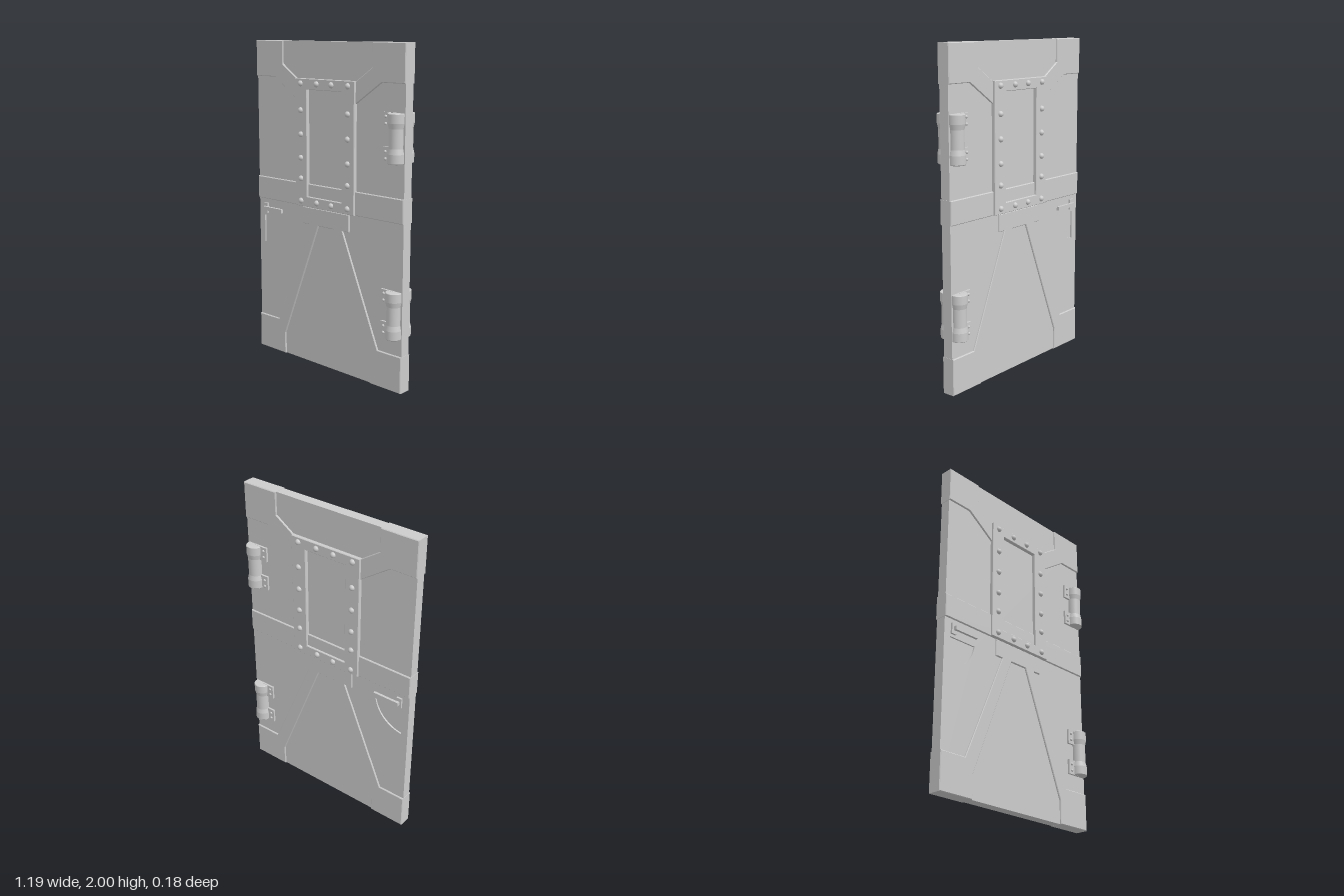
import * as THREE from 'three';

export function createModel() {
  const door = new THREE.Group();
  door.name = 'door';
  const grey = new THREE.MeshStandardMaterial({ color: 0xcccccc });

  const add = (name, geometry, x = 0, y = 0, z = 0, parent = door) => {
    const mesh = new THREE.Mesh(geometry, grey);
    mesh.name = name;
    mesh.position.set(x, y, z);
    parent.add(mesh);
    return mesh;
  };
  const polygon = (pts) => new THREE.Shape(pts.map(([x, y]) => new THREE.Vector2(x, y)));
  const rect = (x0, y0, x1, y1) => polygon([[x0, y0], [x1, y0], [x1, y1], [x0, y1]]);
  const mirrorX = (pts) => pts.map(([x, y]) => [-x, y]).reverse();

  // Plate centred on z = 0, showing equally on both faces of the door
  const plate = (name, shape, halfDepth, bevel = 0.004) => {
    const geometry = new THREE.ExtrudeGeometry(shape, {
      depth: 2 * (halfDepth - bevel), bevelEnabled: bevel > 0, bevelSize: bevel,
      bevelThickness: bevel, bevelOffset: -bevel, bevelSegments: 1, curveSegments: 16,
    });
    geometry.translate(0, 0, bevel - halfDepth);
    return add(name, geometry);
  };

  // Core and skin; the skin has a quarter-round recess under the handle
  const W = 0.597, SLAB = 0.032;
  add('core', new THREE.BoxGeometry(1.188, 1.994, 0.044), 0, 1, 0);
  const skin = rect(-0.595, 0.001, 0.595, 1.999);
  const recess = new THREE.Path();
  recess.moveTo(-0.55, 0.893);
  recess.lineTo(-0.55, 0.715);
  recess.bezierCurveTo(-0.455, 0.725, -0.375, 0.795, -0.36, 0.893);
  recess.lineTo(-0.55, 0.893);
  skin.holes.push(recess);
  plate('skin', skin, SLAB, 0);

  // Raised upper corner braces
  const topBrace = [
    [-W, 2], [-W, 1.78], [-0.43, 1.78], [-0.23, 1.645],
    [-0.23, 1.773], [-0.36, 1.86], [-0.36, 2],
  ];
  plate('upperBraceRight', polygon(topBrace), 0.042);
  plate('upperBraceLeft', polygon(mirrorX(topBrace)), 0.042);

  // Middle rail
  plate('middleRail', rect(-W, 1.003, W, 1.145), 0.042);

  // Raised A-shaped lower brace with feet
  const leg = [
    [-0.19, 1], [-0.19, 0.893], [-0.138, 0.893], [-0.42, 0.222], [-W, 0.222],
    [-W, 0], [-0.36, 0], [-0.36, 0.14], [-0.062, 0.893],
  ];
  plate('lowerBrace', polygon([...leg, ...mirrorX(leg)]), 0.042);

  // Window frame
  const frame = rect(-0.24, 1.003, 0.24, 1.78);
  frame.holes.push(rect(-0.143, 1.067, 0.14, 1.715));
  plate('windowFrame', frame, 0.055, 0.003);

  // Shared geometry for the fittings
  const rivet = new THREE.SphereGeometry(0.018, 14, 10);
  const screw = new THREE.SphereGeometry(0.009, 10, 8);
  const knuckle = new THREE.LatheGeometry([
    [0, -0.14], [0.046, -0.14], [0.05, -0.136], [0.05, -0.136], [0.05, -0.085],
    [0.05, -0.085], [0.043, -0.055], [0.043, -0.055], [0.043, 0.055], [0.043, 0.055],
    [0.05, 0.085], [0.05, 0.085], [0.05, 0.136], [0.05, 0.136], [0.046, 0.14], [0, 0.14],
  ].map(([r, y]) => new THREE.Vector2(r, y)), 32);
  const leaf = new THREE.BoxGeometry(0.09, 0.09, 0.03);

  const rivetSpots = [[-0.06, 1.75], [0.06, 1.75], [-0.06, 1.037], [0.06, 1.037]];
  for (const y of [1.75, 1.59, 1.445, 1.302, 1.175, 1.037]) {
    rivetSpots.push([-0.192, y], [0.19, y]);
  }

  // Fittings repeated on the front and the back
  for (const s of [1, -1]) {
    for (const [x, y] of rivetSpots) add('rivet', rivet, x, y, s * 0.054);

    for (const y of [1.48, 0.465]) {
      const hinge = new THREE.Group();
      hinge.name = 'hinge';
      hinge.position.set(0, y, 0);
      door.add(hinge);
      add('hingeKnuckle', knuckle, 0.54, 0, s * 0.04, hinge);
      for (const end of [-1, 1]) {
        add('hingeLeaf', leaf, 0.49, end * 0.096, s * 0.03, hinge);
        for (const dy of [-0.02, 0.02]) {
          add('hingeScrew', screw, 0.467, end * 0.098 + dy, s * 0.045, hinge);
        }
      }
    }

    // Lever handle: back plate, stem and bar
    const handle = new THREE.Group();
    handle.name = 'handle';
    door.add(handle);
    add('handlePlate', new THREE.BoxGeometry(0.034, 0.066, 0.02), -0.53, 0.943, s * 0.034, handle);
    add('handleStem', new THREE.BoxGeometry(0.02, 0.022, 0.03), -0.525, 0.943, s * 0.045, handle);
    add('handleBar', new THREE.BoxGeometry(0.17, 0.024, 0.016), -0.45, 0.943, s * 0.056, handle);
  }

  return door;
}
